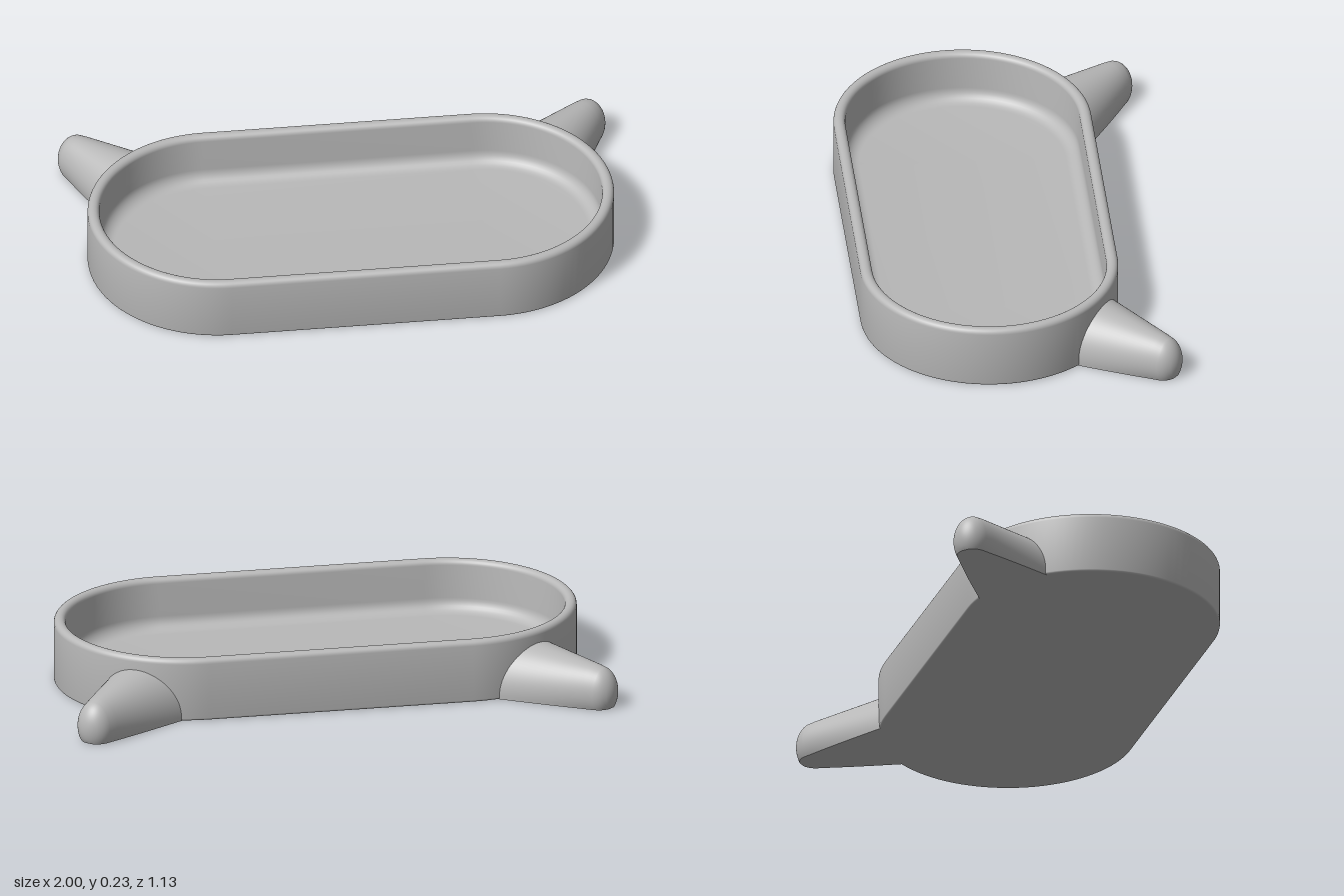
import * as THREE from 'three';
import { toCreasedNormals } from 'three/addons/utils/BufferGeometryUtils.js';

const HALF = 0.49;      // half length of the straight sides
const R = 0.469;        // radius of the round ends
const H = 0.235;        // tray height
const CZ = 0.096;       // tray centre in z

// Skin between rows of points, each row a closed loop
function loft(rows) {
  const n = rows[0].length, index = [];
  for (let i = 0; i < rows.length - 1; i++) {
    for (let j = 0; j < n; j++) {
      const a = i * n + j, c = i * n + (j + 1) % n;
      index.push(a, a + n, c, a + n, c + n, c);
    }
  }
  const geo = new THREE.BufferGeometry().setFromPoints(rows.flat());
  geo.setIndex(index);
  // enlarged while creasing so that fine fillets keep separate normals
  geo.scale(100, 100, 100);
  const out = toCreasedNormals(geo, 0.6);
  out.scale(0.01, 0.01, 0.01);
  return out;
}

// Points of a fillet in the tray profile
function arc(cx, cy, r, from, to, steps) {
  return Array.from({ length: steps + 1 }, (_, i) => {
    const a = THREE.MathUtils.lerp(from, to, i / steps) * Math.PI;
    return [cx + r * Math.cos(a), cy + r * Math.sin(a)];
  });
}

// Hollow stadium-shaped tray with rounded rim and filleted floor
function trayGeometry() {
  const wall = 0.043, floor = 0.04, rim = 0.02, fillet = 0.05, foot = 0.008;
  const inner = R - wall;
  const profile = [
    [0, 0],
    ...arc(R - foot, foot, foot, -0.5, 0, 4),
    ...arc(R - rim, H - rim, rim, 0, 0.5, 6),
    ...arc(inner + rim, H - rim, rim, 0.5, 1, 6),
    ...arc(inner - fillet, floor + fillet, fillet, 0, -0.5, 8),
    [0, floor],
  ];
  const seg = 48;
  return loft(profile.map(([r, y]) => {
    const loop = [];
    for (const side of [1, -1]) {
      for (let i = 0; i <= seg; i++) {
        const a = (i / seg - 0.5) * Math.PI;
        loop.push(new THREE.Vector3(side * (HALF + r * Math.cos(a)), y, CZ + side * r * Math.sin(a)));
      }
    }
    return loop;
  }));
}

// Tapered horn with a round tip, cut flat at the ground
function hornGeometry(side) {
  const axis = new THREE.Vector3(side * 0.67, 0, -0.743).normalize();
  const across = new THREE.Vector3(-axis.z, 0, axis.x);
  const tip = new THREE.Vector3(side * 0.93, 0, -0.496);
  const seg = 40;

  // point k of the section at distance d behind the tip centre
  const point = (d, hr, vr, k) => {
    const cy = 0.055 - 0.12 * Math.max(d, 0);
    const a0 = vr > cy ? Math.asin(-cy / vr) : -Math.PI / 2;
    const a = THREE.MathUtils.lerp(a0, Math.PI - a0, k / seg);
    return tip.clone().addScaledVector(axis, -d)
      .addScaledVector(across, hr * Math.cos(a))
      .setY(Math.max(0, cy + vr * Math.sin(a)));
  };
  const cone = (d, k) => point(d, 0.0728 + 0.277 * d, 0.097 + 0.24 * d, k);

  // each line of the cone ends just inside the tray wall
  const start = -0.0195, ends = [];
  for (let k = 0; k <= seg; k++) {
    let d = 0;
    for (; d < 0.5; d += 0.002) {
      const p = cone(d, k);
      if (Math.hypot(Math.max(Math.abs(p.x) - HALF, 0), p.z - CZ) < R - 0.02) break;
    }
    ends.push(d);
  }

  const rows = [];
  for (let i = 0; i <= 10; i++) {
    rows.push(ends.map((end, k) => cone(THREE.MathUtils.lerp(end, start, i / 10), k)));
  }
  for (let i = 1; i <= 12; i++) {
    const t = THREE.MathUtils.lerp(0.27, Math.PI / 2, i / 12);
    rows.push(ends.map((_, k) => point(-0.07 * Math.sin(t), 0.07 * Math.cos(t), 0.096 * Math.cos(t), k)));
  }
  return loft(rows);
}

export function createModel() {
  const group = new THREE.Group();
  const grey = new THREE.MeshStandardMaterial({ color: 0xb8b8b8 });
  grey.name = 'grey';

  const add = (name, geometry) => {
    const mesh = new THREE.Mesh(geometry, grey);
    mesh.name = name;
    group.add(mesh);
  };
  add('tray', trayGeometry());
  add('leftHorn', hornGeometry(1));
  add('rightHorn', hornGeometry(-1));
  return group;
}
